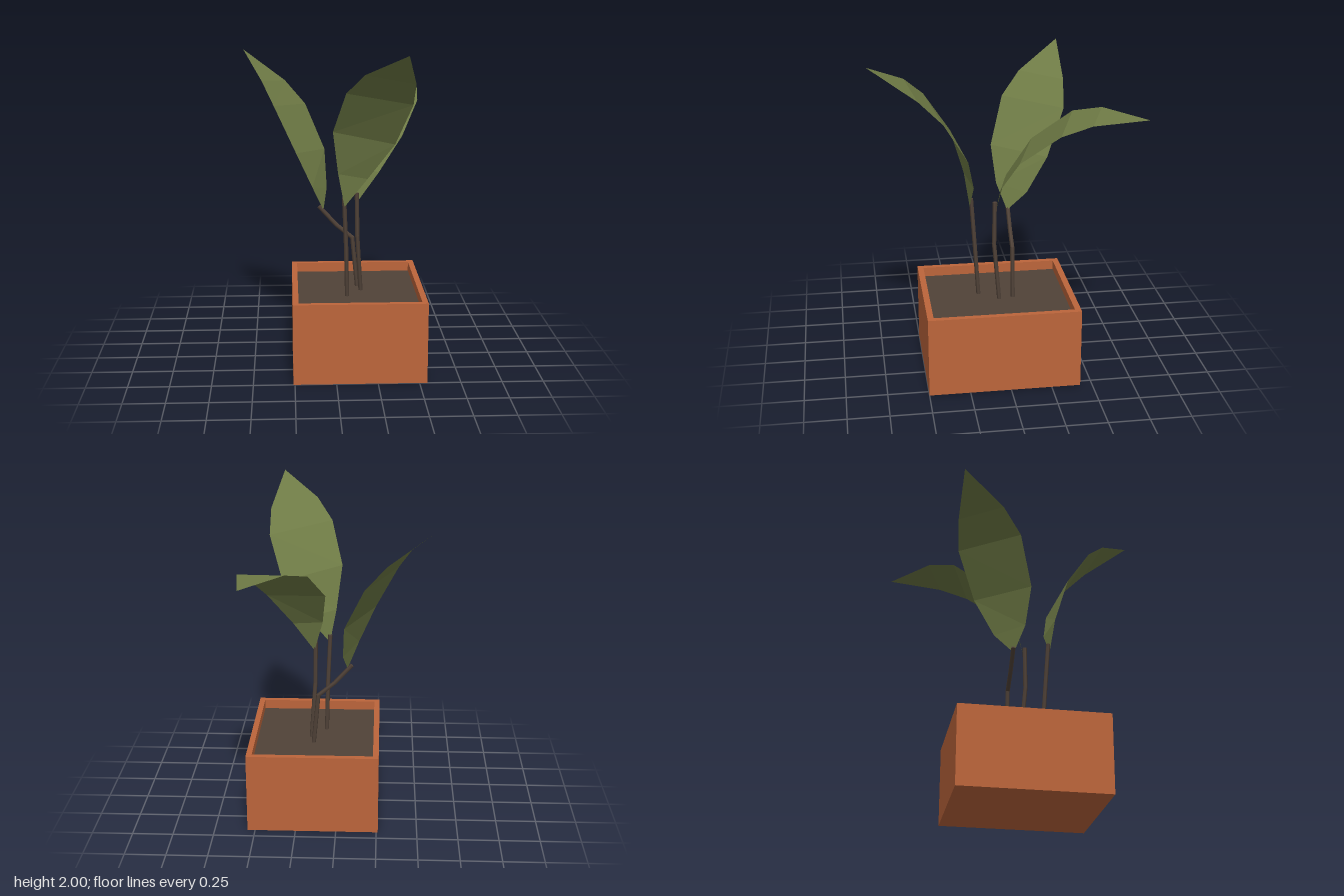
import * as THREE from 'three';

const terracotta = new THREE.MeshStandardMaterial({ color: 0xbc653b });
terracotta.name = 'terracotta';
const earth = new THREE.MeshStandardMaterial({ color: 0x504238 });
earth.name = 'earth brown';
const green = new THREE.MeshStandardMaterial({ color: 0x6e7a45, side: THREE.DoubleSide, flatShading: true });
green.name = 'leaf green';

// Counter-clockwise rectangle, with plan z mapped to shape -y
function rectangle(Type, x0, x1, z0, z1) {
  return new Type([[x0, -z1], [x1, -z1], [x1, -z0], [x0, -z0]].map(p => new THREE.Vector2(...p)));
}

// Vertical prism between two heights
function prism(name, shape, y0, y1, material) {
  const geo = new THREE.ExtrudeGeometry(shape, { depth: y1 - y0, bevelEnabled: false });
  geo.rotateX(-Math.PI / 2).translate(0, y0, 0);
  const mesh = new THREE.Mesh(geo, material);
  mesh.name = name;
  return mesh;
}

// Bent stem: a thin five-sided rod along each pair of points
function stem(name, points) {
  const group = new THREE.Group();
  group.name = name;
  for (let i = 1; i < points.length; i++) {
    const a = new THREE.Vector3(...points[i - 1]), b = new THREE.Vector3(...points[i]);
    const dir = b.clone().sub(a);
    const rod = new THREE.Mesh(new THREE.CylinderGeometry(0.014, 0.014, dir.length() + 0.008, 5), earth);
    rod.name = 'stemSegment';
    rod.position.copy(a).add(b).multiplyScalar(0.5);
    rod.quaternion.setFromUnitVectors(new THREE.Vector3(0, 1, 0), dir.normalize());
    group.add(rod);
  }
  return group;
}

// Curved leaf blade: base point, pairs of edge points, tip point
function leaf(name, base, rows, tip) {
  const sections = [[base, base], ...rows, [tip, tip]];
  const positions = [];
  for (let i = 1; i < sections.length; i++) {
    const [a, b] = sections[i - 1], [c, d] = sections[i];
    if (a !== b) positions.push(...a, ...b, ...d);
    if (c !== d) positions.push(...a, ...d, ...c);
    else positions.splice(-9, 9, ...a, ...b, ...c);
  }
  const geo = new THREE.BufferGeometry();
  geo.setAttribute('position', new THREE.Float32BufferAttribute(positions, 3));
  geo.computeVertexNormals();
  const mesh = new THREE.Mesh(geo, green);
  mesh.name = name;
  return mesh;
}

export function createModel() {
  const model = new THREE.Group();
  model.name = 'pottedPlant';

  // Square pot with open rim, closed base and soil
  const walls = rectangle(THREE.Shape, -0.26, 0.547, -0.427, 0.5);
  walls.holes.push(rectangle(THREE.Path, -0.225, 0.512, -0.39, 0.463));
  const inside = rectangle(THREE.Shape, -0.225, 0.512, -0.39, 0.463);
  model.add(
    prism('potWalls', walls, 0, 0.5, terracotta),
    prism('potBase', inside, 0, 0.03, terracotta),
    prism('soil', inside, 0.03, 0.44, earth)
  );

  // Stems
  model.add(
    stem('frontStem', [[0.08, 0.42, 0.14], [0.072, 0.75, 0.16], [0.058, 1.07, 0.18]]),
    stem('backStem', [[0.172, 0.42, 0.02], [0.147, 0.8, 0.05], [0.143, 1.07, 0.045]]),
    stem('sideStem', [[0.155, 0.42, -0.067], [0.122, 0.76, -0.067], [0.02, 0.845, -0.067], [-0.085, 0.962, -0.067]])
  );

  // Leaves
  model.add(
    leaf('frontLeaf', [0.06, 1.02, 0.19], [
      [[0.02, 1.23, 0.22], [0.2, 1.19, 0.18]],
      [[-0.015, 1.5, 0.3], [0.36, 1.41, 0.23]],
      [[0.055, 1.75, 0.46], [0.45, 1.67, 0.38]],
      [[0.155, 1.87, 0.58], [0.45, 1.81, 0.52]]
    ], [0.38, 2.0, 0.8]),
    leaf('backLeaf', [0.15, 1.02, 0.04], [
      [[0.095, 1.23, -0.03], [0.28, 1.2, 0.03]],
      [[0.07, 1.45, -0.19], [0.43, 1.41, -0.06]],
      [[0.16, 1.64, -0.42], [0.545, 1.6, -0.28]],
      [[0.28, 1.69, -0.57], [0.56, 1.66, -0.46]]
    ], [0.52, 1.67, -0.8]),
    leaf('sideLeaf', [-0.06, 0.94, -0.06], [
      [[-0.13, 1.1, 0], [-0.035, 1.06, -0.18]],
      [[-0.23, 1.32, 0.02], [-0.045, 1.285, -0.31]],
      [[-0.365, 1.6, -0.07], [-0.165, 1.56, -0.43]],
      [[-0.44, 1.74, -0.19], [-0.295, 1.71, -0.45]]
    ], [-0.56, 1.91, -0.45])
  );
  return model;
}
